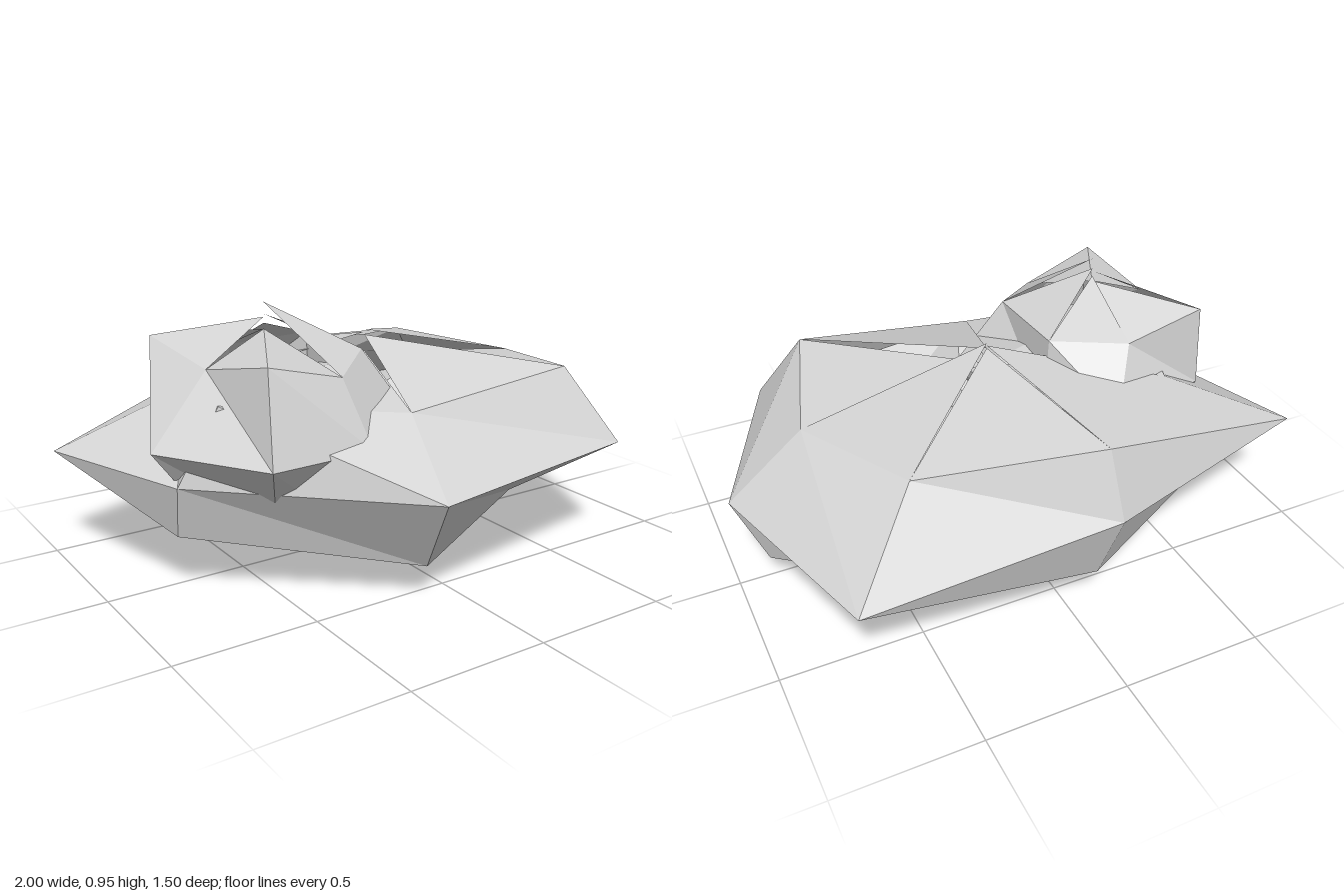
import * as THREE from 'three';

// Seven-sided faceted boulder: three rings of [x, y, z] corners between two poles.
// Each pole has one height per facet, giving the small cracks at the tips.
function boulder(name, material, { centre, rings, tops, bottoms }) {
  const pos = [];
  const tri = (...corners) => corners.forEach((c) => pos.push(...c));
  const n = rings[0].length;
  const [cx, cz] = centre;
  const last = rings.length - 1;
  for (let i = 0; i < n; i++) {
    const j = (i + 1) % n;
    tri([cx, tops[i], cz], rings[0][j], rings[0][i]);
    for (let r = 0; r < last; r++) {
      const up = rings[r], low = rings[r + 1];
      tri(up[j], low[i], up[i]);
      tri(up[j], low[j], low[i]);
    }
    tri([cx, bottoms[i], cz], rings[last][i], rings[last][j]);
  }
  const geometry = new THREE.BufferGeometry();
  geometry.setAttribute('position', new THREE.Float32BufferAttribute(pos, 3));
  geometry.computeVertexNormals();
  const mesh = new THREE.Mesh(geometry, material);
  mesh.name = name;
  return mesh;
}

export function createModel() {
  const group = new THREE.Group();
  group.name = 'rocks';
  // Cracks leave the shells open, so both sides show
  const stone = new THREE.MeshStandardMaterial({
    color: 0xd4d4d4, flatShading: true, side: THREE.DoubleSide,
  });
  stone.name = 'pale grey stone';

  // Wide main rock
  group.add(boulder('largeRock', stone, {
    centre: [0.05, -0.05],
    tops: [0.7, 0.76, 0.7, 0.7, 0.77, 0.76, 0.78],
    bottoms: [0.05, 0.03, 0.01, 0, 0.01, 0.03, 0.01],
    rings: [
      [[0.73, 0.62, -0.05], [0.58, 0.67, 0.44], [-0.08, 0.6, 0.42], [-0.68, 0.67, 0.22],
        [-0.55, 0.61, -0.27], [-0.12, 0.65, -0.62], [0.52, 0.65, -0.5]],
      [[1, 0.4, -0.05], [0.72, 0.4, 0.59], [-0.18, 0.4, 0.75], [-0.8, 0.4, 0.15],
        [-1, 0.4, -0.44], [-0.14, 0.4, -0.7], [0.79, 0.4, -0.75]],
      [[0.89, 0.12, -0.05], [0.45, 0.19, 0.32], [-0.12, 0.12, 0.57], [-0.78, 0.21, 0.09],
        [-0.62, 0.15, -0.35], [-0.1, 0.14, -0.62], [0.5, 0.18, -0.43]],
    ],
  }));

  // Smaller rock sunk into the left-hand end
  group.add(boulder('smallRock', stone, {
    centre: [-0.43, 0.07],
    tops: [0.95, 0.86, 0.86, 0.9, 0.86, 0.88, 0.91],
    bottoms: [0.12, 0.1, 0.09, 0.12, 0.1, 0.12, 0.12],
    rings: [
      [[-0.13, 0.78, 0.2], [-0.31, 0.74, 0.36], [-0.6, 0.82, 0.4], [-0.66, 0.76, 0.1],
        [-0.71, 0.82, -0.22], [-0.42, 0.75, -0.22], [-0.15, 0.78, -0.13]],
      [[0.04, 0.52, 0.27], [-0.27, 0.52, 0.48], [-0.64, 0.52, 0.49], [-0.87, 0.52, 0.12],
        [-0.72, 0.52, -0.23], [-0.31, 0.56, -0.36], [-0.13, 0.52, -0.14]],
      [[-0.12, 0.25, 0.18], [-0.3, 0.25, 0.28], [-0.5, 0.25, 0.25], [-0.66, 0.24, 0.08],
        [-0.6, 0.25, -0.14], [-0.42, 0.25, -0.2], [-0.2, 0.25, -0.1]],
    ],
  }));
  return group;
}
